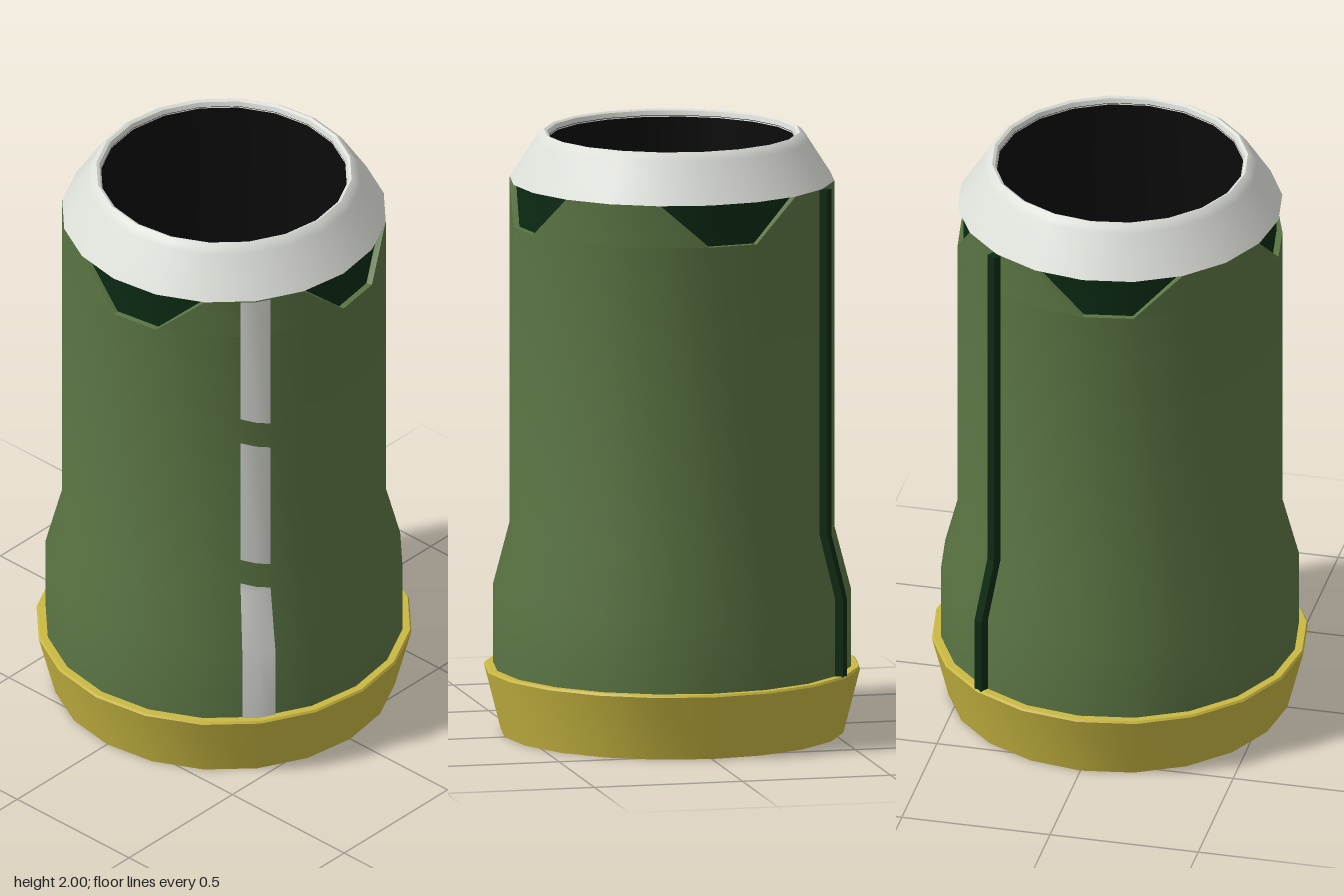
import * as THREE from 'three';
import { toCreasedNormals } from 'three/addons/utils/BufferGeometryUtils.js';

const SIDES = 20;
const STEP = (Math.PI * 2) / SIDES;
const BODY = [[0.59, 0.2], [0.59, 0.48], [0.535, 0.69], [0.535, 1.7]];

const paint = (name, color, side = THREE.FrontSide) => {
  const m = new THREE.MeshStandardMaterial({ color, side });
  m.name = name;
  return m;
};

// Turned part with smooth sides and sharp rims
function lathe(points) {
  const g = new THREE.LatheGeometry(points.map(([r, y]) => new THREE.Vector2(r, y)), SIDES);
  return toCreasedNormals(g, 0.45);
}

// Point on a facet corner; fractional steps lie on the flat facet between corners
function onFacet(step, r, y) {
  const lo = Math.floor(step);
  const at = (i) => new THREE.Vector3(Math.sin(i * STEP) * r, y, Math.cos(i * STEP) * r);
  return at(lo).lerp(at(lo + 1), step - lo);
}

// Body radius at a height
function radiusAt(y) {
  for (let i = 1; i < BODY.length; i++) {
    const [r0, y0] = BODY[i - 1], [r1, y1] = BODY[i];
    if (y <= y1) return r0 + ((r1 - r0) * (y - y0)) / (y1 - y0);
  }
  return 0.535;
}

// Sheet through rows of points, rows running upwards
function sheet(rows) {
  const pos = [], n = rows[0].length, index = [];
  rows.flat().forEach((p) => pos.push(p.x, p.y, p.z));
  for (let j = 0; j < rows.length - 1; j++) {
    for (let i = 0; i < n - 1; i++) {
      const a = j * n + i;
      index.push(a, a + 1, a + n, a + 1, a + n + 1, a + n);
    }
  }
  const g = new THREE.BufferGeometry();
  g.setAttribute('position', new THREE.Float32BufferAttribute(pos, 3));
  g.setIndex(index);
  return toCreasedNormals(g, 0.45);
}

export function createModel() {
  const model = new THREE.Group();
  const green = paint('green', 0x5a7443);
  const greenThin = paint('greenThin', 0x5a7443, THREE.DoubleSide);
  const darkGreen = paint('darkGreen', 0x0c2a13);
  const yellow = paint('yellow', 0xcab842);
  const white = paint('white', 0xdcded8);
  const whiteThin = paint('whiteThin', 0xdcded8, THREE.DoubleSide);
  const black = paint('black', 0x0b0b0b);

  const add = (name, geometry, material, parent = model) => {
    const mesh = new THREE.Mesh(geometry, material);
    mesh.name = name;
    parent.add(mesh);
    return mesh;
  };

  // Flared base band and its underside
  add('baseBand', lathe([[0.565, 0], [0.62, 0.215], [0.615, 0.222], [0.585, 0.222]]), yellow);
  add('underside', new THREE.CircleGeometry(0.565, SIDES).rotateX(Math.PI / 2), black);

  // Body shell and the dark liner behind the notches
  add('body', lathe(BODY), green);
  add('liner', lathe([[0.515, 1.6], [0.515, 1.845]]), darkGreen);

  // Collar with four notches: two solid facets, then a slanted opening
  const collar = new THREE.Group();
  collar.name = 'notchedCollar';
  model.add(collar);
  const low = 1.7, high = 1.84, R = 0.535, IN = 0.513;
  for (let q = 0; q < 4; q++) {
    const s = q * 5;
    const cols = [0, 1, 2, 3, 4, 5];
    const tops = [low, low, high, high, high, low];
    add('collarPanel', sheet([
      cols.map((c) => onFacet(s + c, R, low)),
      cols.map((c, i) => onFacet(s + c, R, tops[i])),
    ].map((row) => row.slice(1))), green, collar);
    const edge = [[-1, high], [0, low], [1, low], [2, high]];
    add('notchLip', sheet([
      edge.map(([c, y]) => onFacet(s + c, R, y)),
      edge.map(([c, y]) => onFacet(s + c, IN, y)),
    ]), greenThin, collar);
  }

  // Bevelled rim with a rounded lip
  add('rim', lathe([
    [0.5, 1.84], [0.535, 1.84], [0.45, 1.972], [0.437, 1.99], [0.422, 2],
    [0.412, 1.995], [0.406, 1.975],
  ]), white);

  // Hollow inside
  add('innerWall', lathe([[0.407, 1.98], [0.407, 0.2]]), black);
  add('innerFloor', new THREE.CircleGeometry(0.407, SIDES).rotateX(-Math.PI / 2).translate(0, 0.2, 0), black);

  // Broken stripe folded over one body edge, with slanted gaps
  const stripe = new THREE.Group();
  stripe.name = 'stripe';
  model.add(stripe);
  const segments = [
    [[0.222, 0], [0.48, 0], [0.685, 0], [0.707, 1]],
    [[0.8, 1], [1.265, 1]],
    [[1.36, 1], [1.84, 0]],
  ];
  for (const rows of segments) {
    add('stripeSegment', sheet(rows.map(([y, slant]) => [-0.3, 0, 0.3].map((t) => {
      const h = y - slant * t * 0.05;
      return onFacet(3 + t, radiusAt(h) + 0.006, h);
    }))), whiteThin, stripe);
  }

  // Slim raised seam on the opposite edge
  const profile = new THREE.Shape([
    [0.56, 0.21], [0.615, 0.21], [0.615, 0.48], [0.56, 0.69],
    [0.56, 1.84], [0.51, 1.84], [0.51, 0.69], [0.56, 0.48],
  ].map(([r, y]) => new THREE.Vector2(r, y)));
  const seam = new THREE.ExtrudeGeometry(profile, { depth: 0.034, bevelEnabled: false });
  seam.translate(0, 0, -0.017).rotateY(13 * STEP - Math.PI / 2);
  add('seam', seam, darkGreen);

  return model;
}
